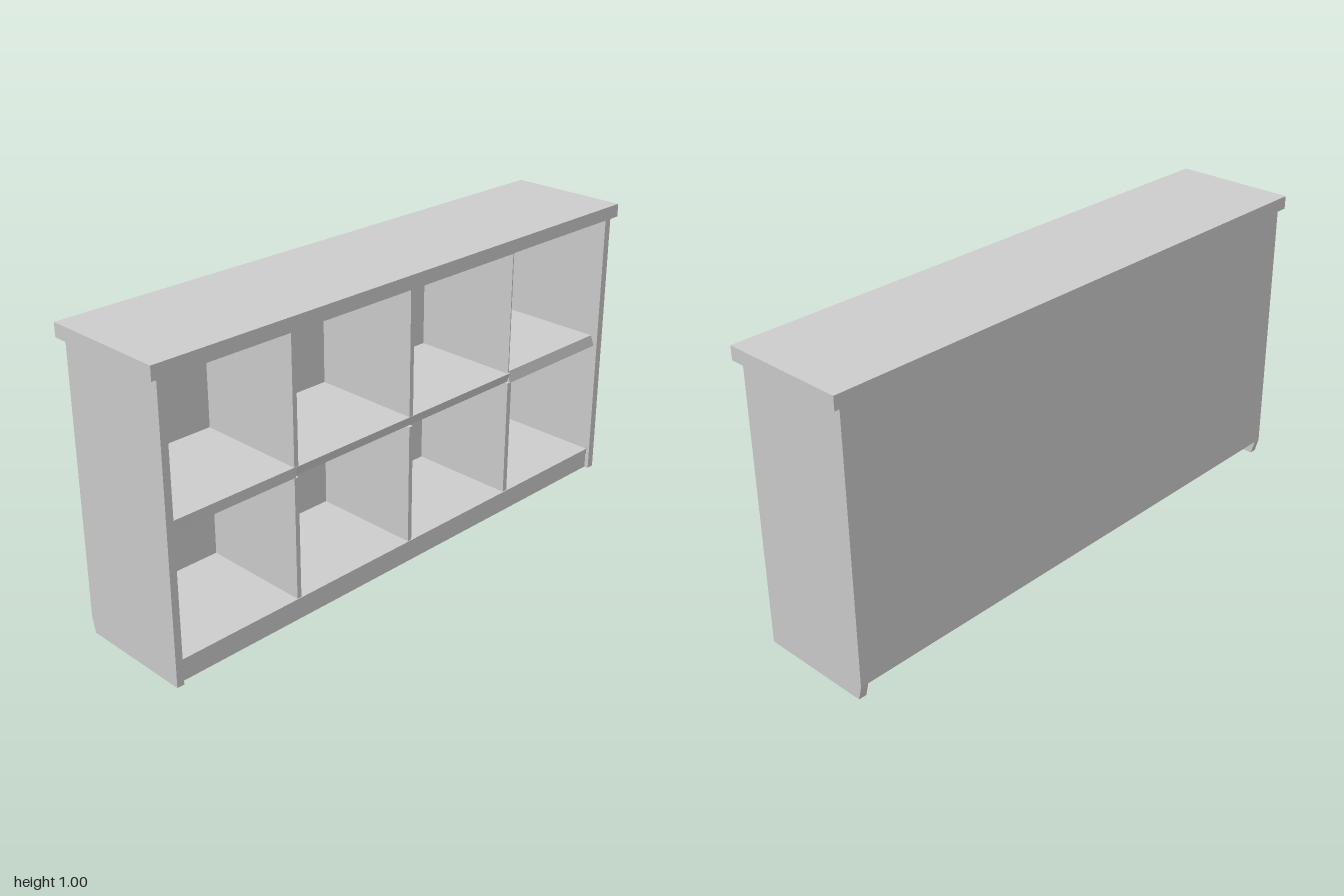
import * as THREE from 'three';

export function createModel() {
  const group = new THREE.Group();
  const paint = new THREE.MeshStandardMaterial({ color: 0xcccccc });
  paint.name = 'grey paint';

  const add = (name, geometry) => {
    const mesh = new THREE.Mesh(geometry, paint);
    mesh.name = name;
    group.add(mesh);
  };
  const extrude = (points, depth) => new THREE.ExtrudeGeometry(
    new THREE.Shape(points.map(([a, b]) => new THREE.Vector2(a, b))),
    { depth, bevelEnabled: false });

  // Board running along x, from a [z, y] cross-section
  const board = (name, x0, x1, profile) =>
    add(name, extrude(profile, x1 - x0).rotateY(-Math.PI / 2).translate(x1, 0, 0));

  // Upright running along y, from an [x, z] plan
  const upright = (name, y0, y1, plan) =>
    add(name, extrude(plan.map(([x, z]) => [x, -z]), y1 - y0).rotateX(-Math.PI / 2).translate(0, y0, 0));

  const rect = (z0, z1, y0, y1) => [[z0, y0], [z1, y0], [z1, y1], [z0, y1]];

  const left = -0.952, right = 0.947;
  const back = -0.203, inner = -0.197, front = 0.19;

  // Overhanging top
  board('top', -1, 1, rect(-0.215, 0.215, 0.96, 1.005));

  // Side panels with a clipped lower back corner
  const side = [[0.205, 0], [0.205, 0.96], [back, 0.96], [back, 0.05], [-0.19, 0]];
  board('rightSide', -0.977, left, side);
  board('leftSide', right, 0.974, side);

  board('backPanel', left, right, rect(back, inner, 0.05, 0.96));

  // Plinth with an underside rising to the back, and the lowest shelf
  board('plinth', left, right, [[front, 0], [front, 0.055], [inner, 0.055], [back, 0.05]]);
  board('bottomShelf', left, right, rect(inner, front + 0.003, 0.055, 0.075));

  // Uprights between the bays
  const dividers = [[-0.499, -0.483], [-0.011, 0.005], [0.47, 0.489]];
  dividers.forEach(([x0, x1], i) => {
    const slant = i === 2 ? 0.012 : 0;
    upright('lowerDivider', 0.075, 0.487, [[x0, inner], [x1, inner], [x1, front], [x0, front]]);
    upright('upperDivider', 0.523, 0.96, [[x0, inner], [x1, inner], [x1, front - slant], [x0, front]]);
  });

  // Middle shelf and top rail, bay by bay; front edges lean slightly
  const ends = [left, -0.491, -0.003, 0.48, right];
  const shelfEdges = [[0.188, 0.19], [0.178, 0.192], [0.178, 0.192], [0.192, 0.178]];
  shelfEdges.forEach(([low, high], i) => {
    board('middleShelf', ends[i], ends[i + 1],
      [[inner, 0.487], [low, 0.487], [high, 0.523], [inner, 0.523]]);
    const railLow = i === 3 ? 0.17 : front;
    board('topRail', ends[i], ends[i + 1],
      [[inner, 0.945], [railLow, 0.945], [front, 0.96], [inner, 0.96]]);
  });

  return group;
}
